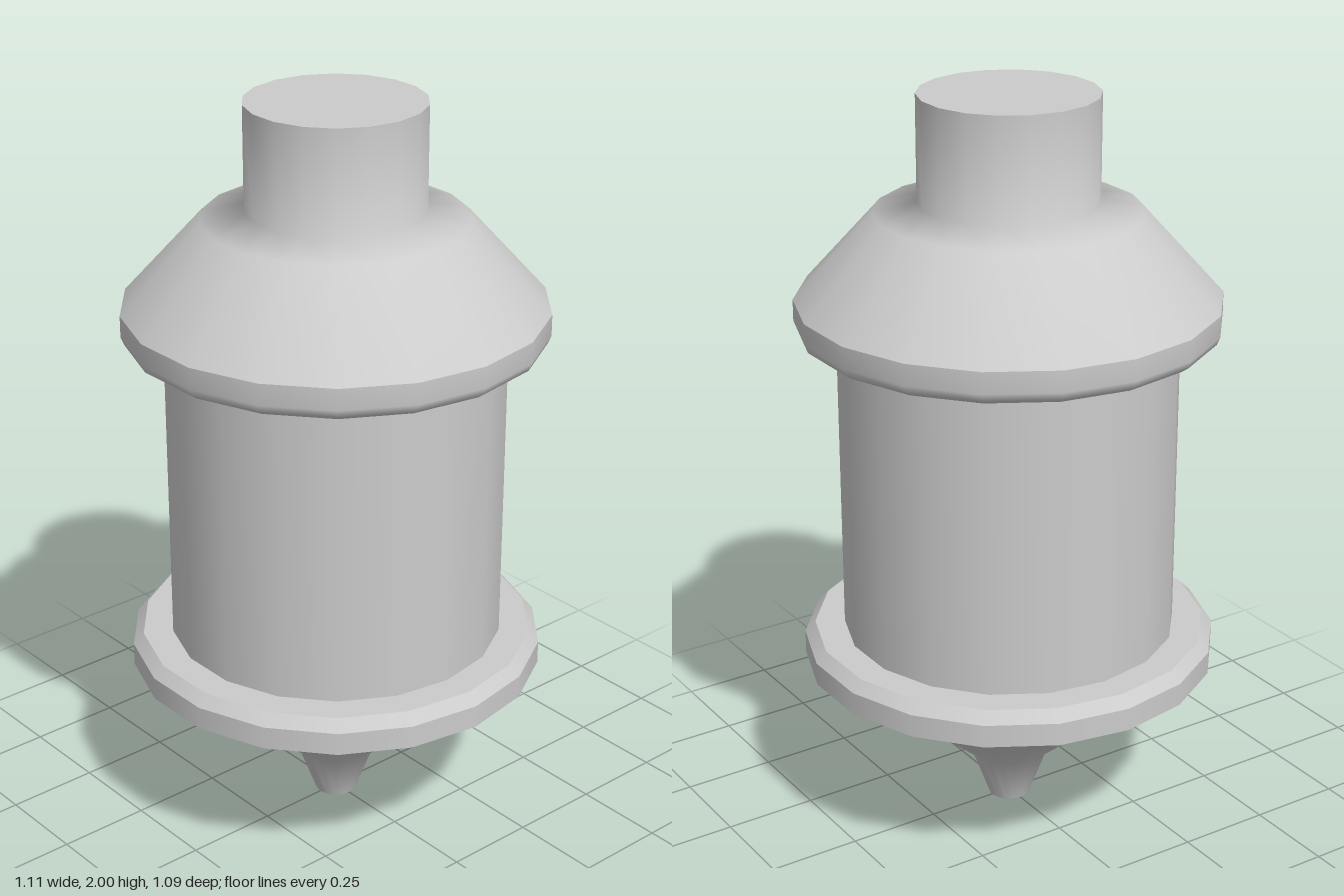
import * as THREE from 'three';

const SIDES = 18;
const material = new THREE.MeshStandardMaterial({ color: 0xcccccc });

// Each run of [radius, height] points is smooth; separate runs meet in a sharp edge.
function turned(name, runs) {
  const part = new THREE.Group();
  part.name = name;
  runs.forEach((run, i) => {
    const points = run.map(([r, y]) => new THREE.Vector2(r, y));
    const mesh = new THREE.Mesh(new THREE.LatheGeometry(points, SIDES, Math.PI / 2), material);
    mesh.name = `${name}Surface${i + 1}`;
    part.add(mesh);
  });
  return part;
}

export function createModel() {
  const model = new THREE.Group();
  model.name = 'canister';
  model.add(
    // Tapered spout with a flat tip
    turned('nozzle', [
      [[0, 0], [0.057, 0]],
      [[0.057, 0], [0.108, 0.14], [0.295, 0.3], [0.555, 0.453]],
    ]),
    // Rim with a bevelled upper edge
    turned('lowerFlange', [
      [[0.555, 0.453], [0.555, 0.515]],
      [[0.555, 0.515], [0.527, 0.545]],
      [[0.527, 0.545], [0.447, 0.545]],
    ]),
    turned('body', [[[0.447, 0.545], [0.447, 1.378]]]),
    // Rim with a rounded lower edge
    turned('upperFlange', [
      [[0.447, 1.378], [0.53, 1.378]],
      [[0.53, 1.378], [0.547, 1.39], [0.555, 1.41], [0.555, 1.467]],
    ]),
    // Sloping shoulder blending into the neck
    turned('shoulderAndNeck', [
      [[0.555, 1.467], [0.347, 1.697], [0.234, 1.722], [0.234, 2]],
      [[0.234, 2], [0, 2]],
    ]),
  );
  return model;
}
